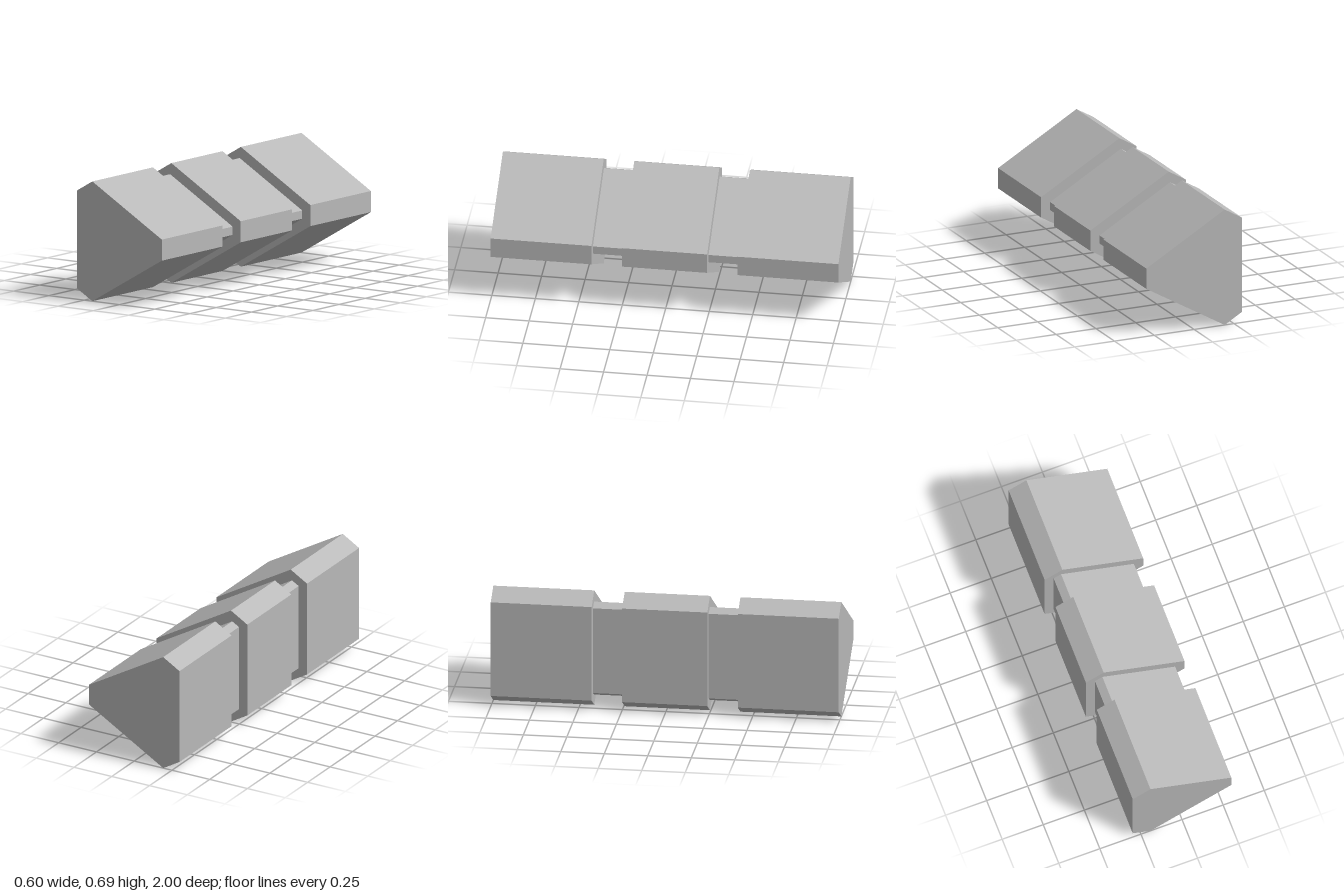
import * as THREE from 'three';

// Clipped-triangle cross-section, mirrored about the middle height
const MID = 0.346;
function section(left, apexX, right, leftH, apexH, rightH) {
  const upper = [[right, rightH], [apexX, apexH], [left, leftH]];
  const lower = upper.map(([x, h]) => [x, -h]).reverse();
  return new THREE.Shape([...upper, ...lower].map(([x, h]) => new THREE.Vector2(x, MID + h)));
}

export function createModel() {
  const group = new THREE.Group();
  const grey = new THREE.MeshStandardMaterial({ color: 0xb8b8b8 });
  grey.name = 'light grey';

  const blockShape = section(-0.3, -0.192, 0.3, 0.283, 0.346, 0.061);
  const neckShape = section(-0.245, -0.2, 0.243, 0.256, 0.281, 0.024);

  // Extrude a cross-section between two depths
  function addPart(name, shape, z0, z1) {
    const geometry = new THREE.ExtrudeGeometry(shape, { depth: z1 - z0, bevelEnabled: false });
    geometry.translate(0, 0, z0);
    const mesh = new THREE.Mesh(geometry, grey);
    mesh.name = name;
    group.add(mesh);
  }

  // Three full-size blocks joined by two recessed necks
  addPart('backBlock', blockShape, -1, -0.42);
  addPart('backNeck', neckShape, -0.42, -0.245);
  addPart('middleBlock', blockShape, -0.245, 0.245);
  addPart('frontNeck', neckShape, 0.245, 0.42);
  addPart('frontBlock', blockShape, 0.42, 1);

  return group;
}
